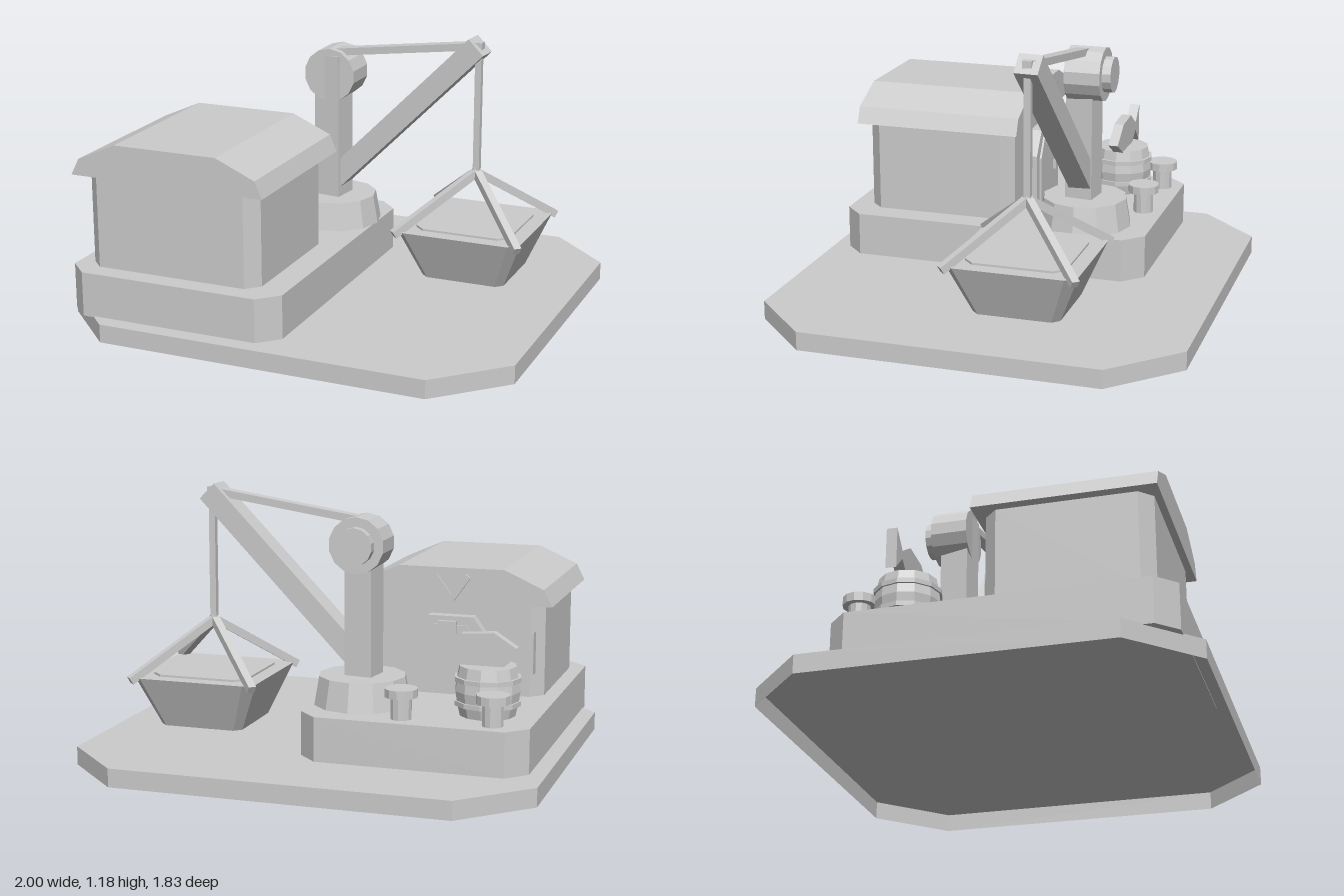
import * as THREE from 'three';

export function createModel() {
  const root = new THREE.Group();
  // Double sided because the ground slab is an open shell
  const grey = new THREE.MeshStandardMaterial({ color: 0xcccccc, side: THREE.DoubleSide });
  grey.name = 'plain grey';

  // Adds a faceted mesh with one normal per face
  function add(name, geo, x = 0, y = 0, z = 0) {
    const g = geo.index ? geo.toNonIndexed() : geo;
    g.computeVertexNormals();
    const mesh = new THREE.Mesh(g, grey);
    mesh.name = name;
    mesh.position.set(x, y, z);
    root.add(mesh);
    return mesh;
  }

  // Stacked chamfered rectangles: [y, half width, half depth, chamfer x, chamfer z]
  function loft(sections, openBottom = false) {
    const p = [];
    const rings = sections.map(([y, w, d, cx, cz = cx]) => [
      [w, -d + cz], [w, d - cz], [w - cx, d], [-w + cx, d],
      [-w, d - cz], [-w, -d + cz], [-w + cx, -d], [w - cx, -d],
    ].map(([x, z]) => [x, y, z]));
    const last = rings.length - 1;
    for (let i = 0; i < 8; i++) {
      const j = (i + 1) % 8;
      for (let k = 0; k < last; k++) {
        const a = rings[k][i], b = rings[k][j], c = rings[k + 1][j], d = rings[k + 1][i];
        p.push(...a, ...d, ...c, ...a, ...c, ...b);
      }
      if (!openBottom) p.push(0, sections[0][0], 0, ...rings[0][i], ...rings[0][j]);
      p.push(0, sections[last][0], 0, ...rings[last][j], ...rings[last][i]);
    }
    const g = new THREE.BufferGeometry();
    g.setAttribute('position', new THREE.Float32BufferAttribute(p, 3));
    return g;
  }

  // Straight square bar between two points
  function beam(name, a, b, w, h) {
    const from = new THREE.Vector3(...a), to = new THREE.Vector3(...b);
    const mid = from.clone().add(to).multiplyScalar(0.5);
    const bar = add(name, new THREE.BoxGeometry(w, h, from.distanceTo(to)), mid.x, mid.y, mid.z);
    bar.lookAt(to);
  }

  // Flat outline given thickness along z
  function plate(points, depth) {
    const shape = new THREE.Shape(points.map(([x, y]) => new THREE.Vector2(x, y)));
    return new THREE.ExtrudeGeometry(shape, { depth, bevelEnabled: false });
  }

  // Ground slab (hollow underneath), raised dock and house walls
  add('groundSlab', loft([[0, 1, 0.914, 0.275, 0.272], [0.08, 1, 0.914, 0.275, 0.272]], true));
  add('dock', loft([[0.075, 0.487, 0.699, 0.085], [0.27, 0.487, 0.699, 0.085]]), -0.443, 0, 0.142);
  add('houseWalls', loft([[0.27, 0.395, 0.342, 0.055], [0.675, 0.395, 0.342, 0.055]]), -0.47, 0, 0.41);

  // Faceted roof running front to back
  add('roof', plate([
    [-0.91, 0.675], [-0.028, 0.675], [-0.06, 0.748], [-0.235, 0.825], [-0.7, 0.825], [-0.873, 0.748],
  ], 0.752), 0, 0, 0.03);

  // Rear door with its frame, window and handle
  const door = [[-0.175, 0], [0.175, 0], [0.175, 0.24], [0.1, 0.345], [-0.1, 0.345], [-0.175, 0.24]];
  add('doorFrame', plate(door, 0.06), -0.47, 0.27, 0.015);
  add('doorPanel', plate(door.map(([x, y]) => [x * 0.75, y * 0.85]), 0.01), -0.47, 0.285, 0.006);
  add('doorWindow', new THREE.BoxGeometry(0.08, 0.055, 0.025), -0.46, 0.568, 0.006);
  add('doorHandle', new THREE.BoxGeometry(0.03, 0.04, 0.025), -0.54, 0.41, 0.003);

  // V ornament on the rear gable
  for (const s of [-1, 1]) {
    const arm = add('gableOrnament', new THREE.BoxGeometry(0.026, 0.125, 0.015), -0.47 + s * 0.038, 0.74, 0.024);
    arm.rotation.z = -s * 0.62;
  }

  // Bulging barrel with two hoops
  const barrel = [[0, 0], [0.118, 0], [0.132, 0.06], [0.138, 0.105], [0.132, 0.15],
    [0.12, 0.21], [0, 0.21]];
  add('barrel', new THREE.LatheGeometry(barrel.map(([x, y]) => new THREE.Vector2(x, y)), 12), -0.71, 0.27, -0.285);
  for (const y of [0.325, 0.425]) {
    add('barrelHoop', new THREE.CylinderGeometry(0.141, 0.141, 0.02, 12), -0.71, y, -0.285);
  }

  // Fish lying above the barrel
  add('fish', plate([
    [-0.905, 0.455], [-0.835, 0.525], [-0.77, 0.47], [-0.62, 0.46], [-0.49, 0.535],
    [-0.6, 0.61], [-0.74, 0.62], [-0.835, 0.56], [-0.905, 0.63],
  ], 0.045), 0, 0, -0.315);

  // Mooring bollards
  for (const x of [-0.775, -0.39]) {
    add('bollardPost', new THREE.CylinderGeometry(0.045, 0.045, 0.1, 12), x, 0.32, -0.465);
    add('bollardCap', new THREE.CylinderGeometry(0.07, 0.07, 0.036, 12), x, 0.381, -0.465);
  }

  // Crane foot, mast and winch drum
  add('craneFoot', new THREE.CylinderGeometry(0.188, 0.21, 0.125, 12), -0.157, 0.3325, -0.252);
  const mast = add('mast', new THREE.BoxGeometry(0.122, 0.66, 0.125), -0.16, 0.715, -0.243);
  mast.rotation.y = -0.13;
  const drum = add('winchDrum', new THREE.CylinderGeometry(0.12, 0.12, 0.16, 14), -0.155, 0.957, -0.262);
  const hub = add('winchHub', new THREE.CylinderGeometry(0.08, 0.08, 0.04, 14), -0.155, 0.957, -0.361);
  drum.rotation.x = hub.rotation.x = Math.PI / 2;

  // Boom, tie bar, tip pin and hoisting rope
  beam('boom', [-0.165, 0.445, -0.246], [0.543, 1.15, -0.202], 0.103, 0.095);
  beam('tieBar', [-0.18, 1.05, -0.246], [0.535, 1.149, -0.202], 0.055, 0.032);
  add('tipPin', new THREE.BoxGeometry(0.036, 0.03, 0.04), 0.54, 1.15, -0.2);
  add('rope', new THREE.BoxGeometry(0.028, 0.56, 0.028), 0.54, 0.87, -0.2);

  // Loaded bucket hung from four arms
  add('bucket', loft([[0.135, 0.187, 0.187, 0.03], [0.357, 0.28, 0.28, 0.045]]), 0.54, 0, -0.2);
  add('bucketLoad', loft([[0.35, 0.215, 0.215, 0.045], [0.366, 0.215, 0.215, 0.045]]), 0.54, 0, -0.2);
  for (const sx of [-1, 1]) {
    for (const sz of [-1, 1]) {
      beam('bucketArm', [0.54, 0.585, -0.2], [0.54 + sx * 0.28, 0.345, -0.2 + sz * 0.28], 0.034, 0.034);
    }
  }
  return root;
}
